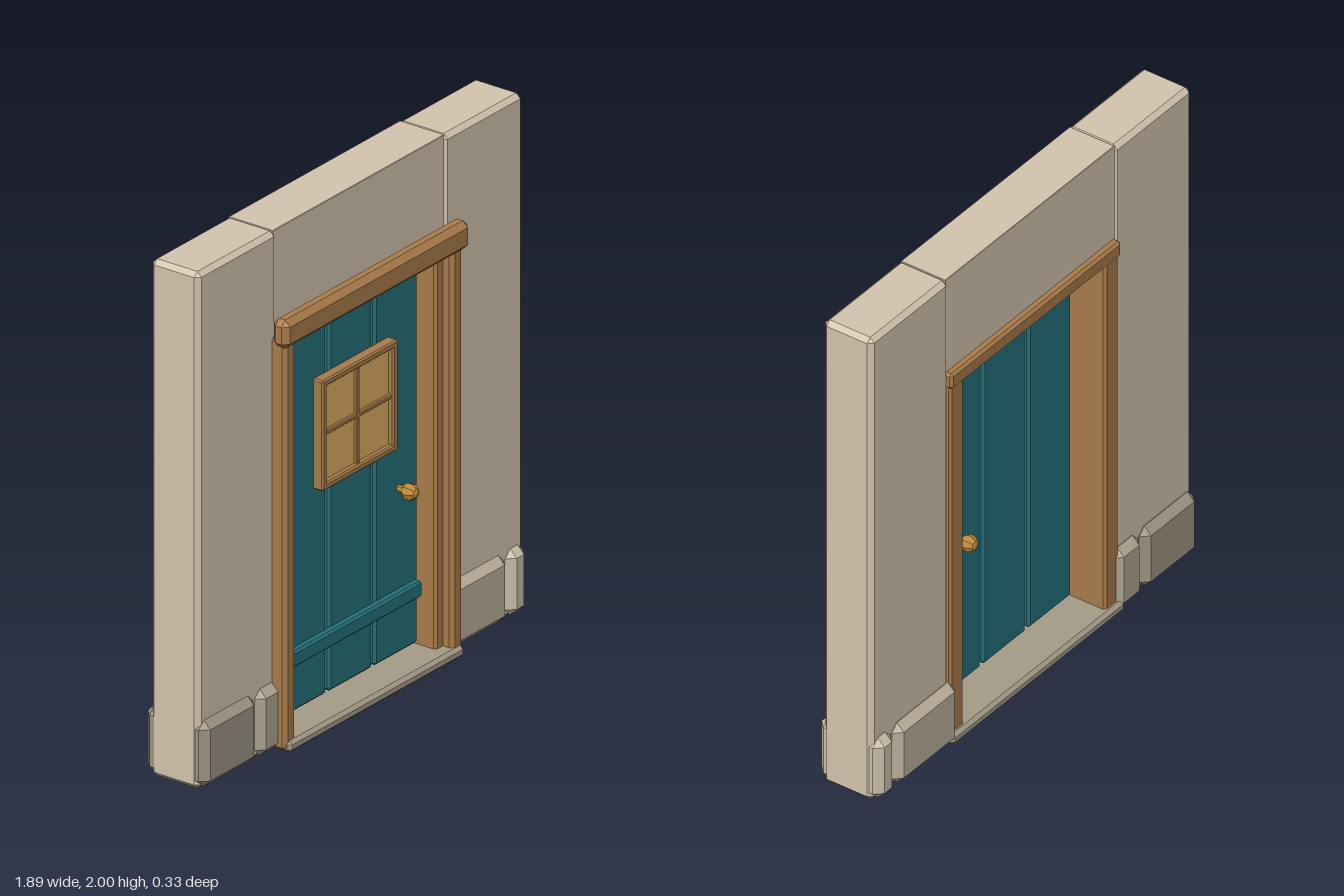
import * as THREE from 'three';
import { ConvexGeometry } from 'three/addons/geometries/ConvexGeometry.js';

const mat = (color) => new THREE.MeshStandardMaterial({ color, flatShading: true });
const PLASTER = mat(0xd4c5ae);
const WOOD = mat(0xa97b4a);
const TEAL = mat(0x25707a);
const GLASS = mat(0xdfad61);
const BRASS = mat(0xc08a35);
const SILL = mat(0xa69b88);
const STONES = [0x9e9584, 0xb0a591, 0xbcb09b, 0xcbbfa8].map(mat);

// Box given by its limits on each axis, with every edge chamfered by c
function chamferBox([x0, x1], [y0, y1], [z0, z1], c) {
  const h = [(x1 - x0) / 2, (y1 - y0) / 2, (z1 - z0) / 2];
  const points = [];
  for (const sx of [-1, 1]) for (const sy of [-1, 1]) for (const sz of [-1, 1]) {
    for (let axis = 0; axis < 3; axis++) {
      const d = h.map((v, i) => (i === axis ? v : v - c));
      points.push(new THREE.Vector3(sx * d[0], sy * d[1], sz * d[2]));
    }
  }
  const geometry = new ConvexGeometry(points);
  geometry.translate((x0 + x1) / 2, (y0 + y1) / 2, (z0 + z1) / 2);
  return geometry;
}

export function createModel() {
  const model = new THREE.Group();
  model.name = 'doorwayWall';

  const add = (name, material, x, y, z, c, parent = model) => {
    const mesh = new THREE.Mesh(chamferBox(x, y, z, c), material);
    mesh.name = name;
    parent.add(mesh);
    return mesh;
  };

  // Wall: two side panels and a slightly recessed block over the door
  add('rightWallPanel', PLASTER, [-0.947, -0.488], [0, 2], [-0.13, 0.083], 0.018);
  add('leftWallPanel', PLASTER, [0.488, 0.947], [0, 2], [-0.13, 0.083], 0.018);
  add('upperWall', PLASTER, [-0.5, 0.5], [1.56, 2], [-0.122, 0.073], 0.002);

  // Base stones pass through the wall and show on both sides
  [[-0.945, -0.63], [-0.62, -0.47], [0.47, 0.83], [0.84, 0.943]].forEach((x, i) => {
    add('baseStone', STONES[i], x, [0.005, 0.263], [-0.163, 0.112], 0.03);
  });

  // Door frame: lining through the wall, front trim and header
  const frame = new THREE.Group();
  frame.name = 'doorFrame';
  model.add(frame);
  for (const s of [-1, 1]) {
    const span = (a, b) => (s > 0 ? [a, b] : [-b, -a]);
    add('jamb', WOOD, span(0.415, 0.497), [0.02, 1.58], [-0.143, 0.1], 0.01, frame);
    add('frontPost', WOOD, span(0.455, 0.52), [0.005, 1.6], [0.07, 0.143], 0.015, frame);
  }
  add('headJamb', WOOD, [-0.502, 0.502], [1.535, 1.6], [-0.152, 0.1], 0.01, frame);
  add('header', WOOD, [-0.54, 0.54], [1.57, 1.68], [0.092, 0.163], 0.022, frame);
  add('sill', SILL, [-0.51, 0.51], [0, 0.045], [-0.163, 0.157], 0.013);

  // Door: three planks with narrow gaps and a low brace
  const door = new THREE.Group();
  door.name = 'door';
  model.add(door);
  for (const x of [-0.268, 0, 0.265]) {
    add('plank', TEAL, [x - 0.126, x + 0.126], [0.065, 1.51], [-0.012, 0.04], 0.01, door);
  }
  add('brace', TEAL, [-0.385, 0.38], [0.255, 0.317], [0.03, 0.068], 0.008, door);

  // Window on the front face: pane, border and glazing bars
  const win = new THREE.Group();
  win.name = 'window';
  door.add(win);
  add('pane', GLASS, [-0.205, 0.205], [0.9, 1.3], [0.035, 0.06], 0.002, win);
  for (const s of [-1, 1]) {
    const x = s * 0.206, y = 1.1 + s * 0.2;
    add('windowStile', WOOD, [x - 0.014, x + 0.014], [0.886, 1.314], [0.035, 0.082], 0.006, win);
    add('windowRail', WOOD, [-0.22, 0.22], [y - 0.014, y + 0.014], [0.035, 0.082], 0.006, win);
  }
  add('verticalBar', WOOD, [-0.009, 0.009], [0.89, 1.31], [0.05, 0.073], 0.004, win);
  add('horizontalBar', WOOD, [-0.21, 0.21], [1.091, 1.109], [0.05, 0.073], 0.004, win);

  // Faceted knobs on both faces, joined by a spindle
  for (const z of [-0.062, 0.09]) {
    const knob = new THREE.Mesh(new THREE.SphereGeometry(0.033, 8, 5), BRASS);
    knob.name = 'knob';
    knob.rotation.x = Math.PI / 2;
    knob.position.set(0.277, 0.705, z);
    door.add(knob);
  }
  const spindle = new THREE.Mesh(new THREE.CylinderGeometry(0.014, 0.014, 0.15, 8), BRASS);
  spindle.name = 'spindle';
  spindle.rotation.x = Math.PI / 2;
  spindle.position.set(0.277, 0.705, 0.014);
  door.add(spindle);

  return model;
}
